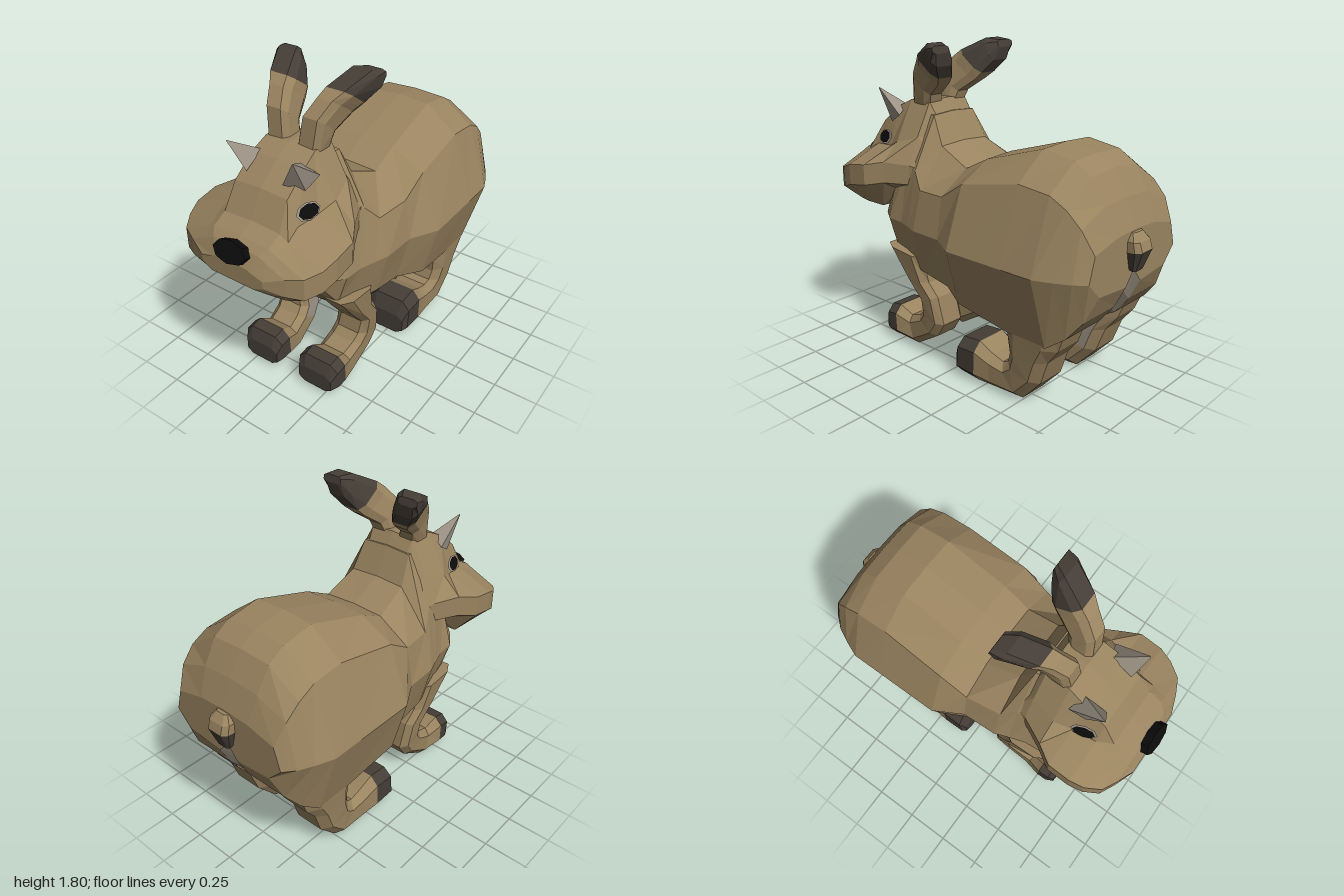
import * as THREE from 'three';

const mat = (name, color) => {
  const m = new THREE.MeshStandardMaterial({ color });
  m.name = name;
  return m;
};
const fur = mat('brown fur', 0x9a8460);
const dark = mat('dark fur', 0x453e37);
const pale = mat('pale fur', 0x9c9285);
const black = mat('black', 0x0c0c0c);

// Faceted skin over a chain of rings; pick(i, j) gives the material of one panel
function loft(name, rings, materials, pick = () => 0) {
  const faces = materials.map(() => []);
  const n = rings[0].length;
  for (let i = 0; i < rings.length - 1; i++) {
    for (let j = 0; j < n; j++) {
      const k = (j + 1) % n;
      const [a, b, c, d] = [rings[i][j], rings[i][k], rings[i + 1][k], rings[i + 1][j]];
      faces[pick(i, j)].push([a, b, c], [a, c, d]);
    }
  }
  const cap = (ring, flip) => {
    const mid = ring.reduce((s, p) => s.add(p), new THREE.Vector3()).divideScalar(n);
    ring.forEach((p, j) => {
      const q = ring[(j + 1) % n];
      faces[0].push(flip ? [mid, q, p] : [mid, p, q]);
    });
  };
  cap(rings[0], true);
  cap(rings[rings.length - 1], false);
  // Turn the skin outwards
  const cross = new THREE.Vector3();
  const volume = faces.flat().reduce((s, [a, b, c]) => s + a.dot(cross.crossVectors(b, c)), 0);
  const geo = new THREE.BufferGeometry();
  const points = [];
  faces.forEach((list, m) => {
    geo.addGroup(points.length, list.length * 3, m);
    list.forEach(([a, b, c]) => points.push(a, ...(volume < 0 ? [c, b] : [b, c])));
  });
  geo.setFromPoints(points);
  geo.computeVertexNormals();
  const mesh = new THREE.Mesh(geo, materials.length > 1 ? materials : materials[0]);
  mesh.name = name;
  return mesh;
}

// Upright ring from a half outline that runs from top centre to bottom centre
function mirrorRing(z, half) {
  const back = half.slice(1, -1).reverse().map(([x, y]) => [-x, y]);
  return [...half, ...back].map(([x, y]) => new THREE.Vector3(x, y, z));
}

// Body ring: z, top, shoulder x and y, widest x, lower side y, belly y
function bodyRing([z, top, sx, sy, wide, low, belly]) {
  const strip = THREE.MathUtils.clamp(0.155 + 0.11 * z, 0.065, 0.16);
  const groove = Math.max(0, -z - 0.4) * 0.15;
  return mirrorRing(z, [[0, top], [sx / 2, top - 0.01], [sx, sy], [wide, 0.79],
    [wide * (z < -0.3 ? 0.77 : 0.83), low], [strip, belly], [0, belly + groove]]);
}

// Head ring: z, top, crown x, temple x and y, cheek x and y, jaw y
function headRing([z, top, crown, tx, ty, cx, cy, jaw]) {
  return mirrorRing(z, [[0, top], [crown, top - 0.01], [tx, ty], [cx, cy],
    [cx, Math.max(cy - 0.12, jaw + 0.03)], [cx * 0.7, jaw], [0, jaw]]);
}

// Eight-sided limb through side-profile pairs z1, y1, z2, y2; centre(y) gives x.
// The inner face is pale along the first paleRows spans.
function limb(name, rows, material, centre, width, endWidth = width, side = 1, paleRows = 0) {
  const rings = rows.map(([z1, y1, z2, y2], i) => {
    const y = (y1 + y2) / 2;
    const w = i === rows.length - 1 ? endWidth : width;
    const corner = (u, v) => new THREE.Vector3(side * (centre(y) + u * w),
      y + v * (y1 - y2) / 2, (z1 + z2) / 2 + v * (z1 - z2) / 2);
    const half = [corner(-0.65, 1), corner(0.65, 1), corner(1, 0.55), corner(1, -0.55)];
    return [...half, corner(0.65, -1), corner(-0.65, -1), corner(-1, -0.55), corner(-1, 0.55)];
  });
  return loft(name, rings, paleRows ? [material, pale] : [material],
    (i, j) => (j === 6 && i < paleRows ? 1 : 0));
}

export function createModel() {
  const model = new THREE.Group();
  model.name = 'animal';

  // Body with a pale strip along the underside
  const bodyRows = [
    [-0.93, 0.97, 0.34, 0.92, 0.38, 0.7, 0.68],
    [-0.87, 1.12, 0.37, 1.04, 0.43, 0.56, 0.56],
    [-0.79, 1.25, 0.38, 1.12, 0.47, 0.46, 0.46],
    [-0.69, 1.31, 0.38, 1.17, 0.51, 0.39, 0.4],
    [-0.5, 1.34, 0.38, 1.19, 0.51, 0.39, 0.37],
    [-0.13, 1.23, 0.39, 1.12, 0.51, 0.47, 0.35],
    [0.03, 1.15, 0.38, 1.02, 0.42, 0.5, 0.38],
    [0.23, 1.24, 0.35, 1.01, 0.41, 0.53, 0.41],
    [0.31, 1.4, 0.31, 1.1, 0.38, 0.53, 0.43],
    [0.4, 1.4, 0.29, 1.1, 0.35, 0.55, 0.47],
    [0.51, 1.15, 0.27, 1.03, 0.34, 0.61, 0.58],
    [0.61, 0.95, 0.22, 0.92, 0.27, 0.76, 0.74],
  ];
  model.add(loft('body', bodyRows.map(bodyRing), [fur, pale], (i, j) => (j === 5 || j === 6 ? 1 : 0)));

  // Head with broad cheeks and a blunt muzzle
  const headRows = [
    [0.26, 1.3, 0.12, 0.2, 1.2, 0.28, 1.1, 1.0],
    [0.36, 1.47, 0.14, 0.24, 1.27, 0.31, 1.12, 0.98],
    [0.5, 1.47, 0.15, 0.27, 1.23, 0.38, 1.13, 0.95],
    [0.6, 1.42, 0.16, 0.235, 1.19, 0.44, 1.11, 0.84],
    [0.73, 1.32, 0.16, 0.215, 1.18, 0.44, 1.09, 0.84],
    [0.81, 1.18, 0.17, 0.22, 1.14, 0.42, 1.06, 0.84],
    [0.89, 1.14, 0.17, 0.21, 1.11, 0.37, 1.04, 0.87],
    [0.93, 1.11, 0.14, 0.18, 1.08, 0.29, 1.03, 0.9],
    [0.97, 1.04, 0.1, 0.12, 1.02, 0.19, 1.0, 0.93],
  ];
  model.add(loft('head', headRows.map(headRing), [fur]));

  // Nose, tilted back on the muzzle
  const nose = new THREE.Mesh(
    new THREE.CylinderGeometry(0.1, 0.1, 0.045, 8).scale(1, 1, 0.58).rotateX(1.15).toNonIndexed(), black);
  nose.geometry.computeVertexNormals();
  nose.name = 'nose';
  nose.position.set(0, 1.088, 0.957);
  model.add(nose);

  // Tail
  const middle = () => 0;
  const tailRing = [-0.88, 0.86, -1, 0.87];
  model.add(limb('tail', [tailRing, [-0.88, 0.92, -0.985, 0.92], [-0.9, 0.96, -0.95, 0.96]],
    fur, middle, 0.07, 0.04));
  model.add(limb('tailUnderside', [tailRing, [-0.92, 0.77, -0.96, 0.76]], dark, middle, 0.07, 0.045));

  for (const side of [1, -1]) {
    const s = side > 0 ? 'left' : 'right';
    const add = (part, rows, material, centre, width, endWidth, paleRows) =>
      model.add(limb(s + part, rows, material, centre, width, endWidth, side, paleRows));

    // Front leg and paw
    const frontX = y => 0.18 + 0.12 * y;
    const frontToe = [0.51, 0.22, 0.5, 0.02];
    add('FrontLeg', [
      [0.54, 0.63, 0.25, 0.6], [0.4, 0.45, 0.23, 0.45], [0.3, 0.33, 0.17, 0.37],
      [0.31, 0.24, 0.14, 0.2], [0.35, 0.2, 0.2, 0.11], [0.43, 0.17, 0.38, 0], frontToe,
    ], fur, frontX, 0.105, 0.13, 4);
    add('FrontToes', [frontToe, [0.58, 0.21, 0.56, 0.02], [0.61, 0.14, 0.61, 0.03]],
      dark, frontX, 0.13, 0.11);

    // Hind leg and paw
    const hindX = y => 0.23 + 0.09 * y;
    const hindToe = [-0.2, 0.24, -0.19, 0];
    add('HindLeg', [
      [-0.4, 0.55, -0.81, 0.55], [-0.41, 0.36, -0.74, 0.37], [-0.42, 0.25, -0.67, 0.28],
      [-0.4, 0.19, -0.62, 0.14], [-0.36, 0.17, -0.5, 0.01], [-0.29, 0.19, -0.3, 0], hindToe,
    ], fur, hindX, 0.13, 0.14, 3);
    add('HindToes', [hindToe, [-0.08, 0.23, -0.06, 0.01], [-0.04, 0.14, -0.04, 0.01]],
      dark, hindX, 0.14, 0.12);

    // Swept-back ear with a dark tip
    const earX = y => 0.09 + 1.5 * (y - 1.44) ** 2;
    const earBend = [0.36, 1.73, 0.2, 1.61];
    add('Ear', [[0.5, 1.44, 0.36, 1.44], [0.48, 1.61, 0.34, 1.5], [0.41, 1.69, 0.24, 1.57], earBend],
      fur, earX, 0.065, 0.08);
    add('EarTip', [earBend, [0.22, 1.8, 0.155, 1.68], [0.15, 1.79, 0.14, 1.75]],
      dark, earX, 0.08, 0.06);

    // Short pointed horn
    const base = [[0.12, 1.42, 0.57], [0.21, 1.37, 0.54], [0.19, 1.32, 0.63], [0.11, 1.36, 0.7]]
      .map(([x, y, z]) => new THREE.Vector3(side * x, y, z));
    const tip = new THREE.Vector3(side * 0.2, 1.515, 0.73);
    model.add(loft(s + 'Horn', [base, base.map(p => tip.clone().lerp(p, 0.04))], [pale]));

    // Eye: black plate on a pale rim
    const normal = new THREE.Vector3(side * 0.9, 0.36, 0.24).normalize();
    [['EyeRim', pale, 0.072, 0.011], ['Eye', black, 0.06, 0.017]]
      .forEach(([part, material, size, lift]) => {
        const eye = new THREE.Mesh(new THREE.CircleGeometry(size, 8), material);
        eye.name = s + part;
        eye.scale.y = 0.63;
        eye.position.set(side * 0.212, 1.228, 0.652).addScaledVector(normal, lift);
        eye.lookAt(eye.position.clone().add(normal));
        model.add(eye);
      });
  }
  return model;
}
